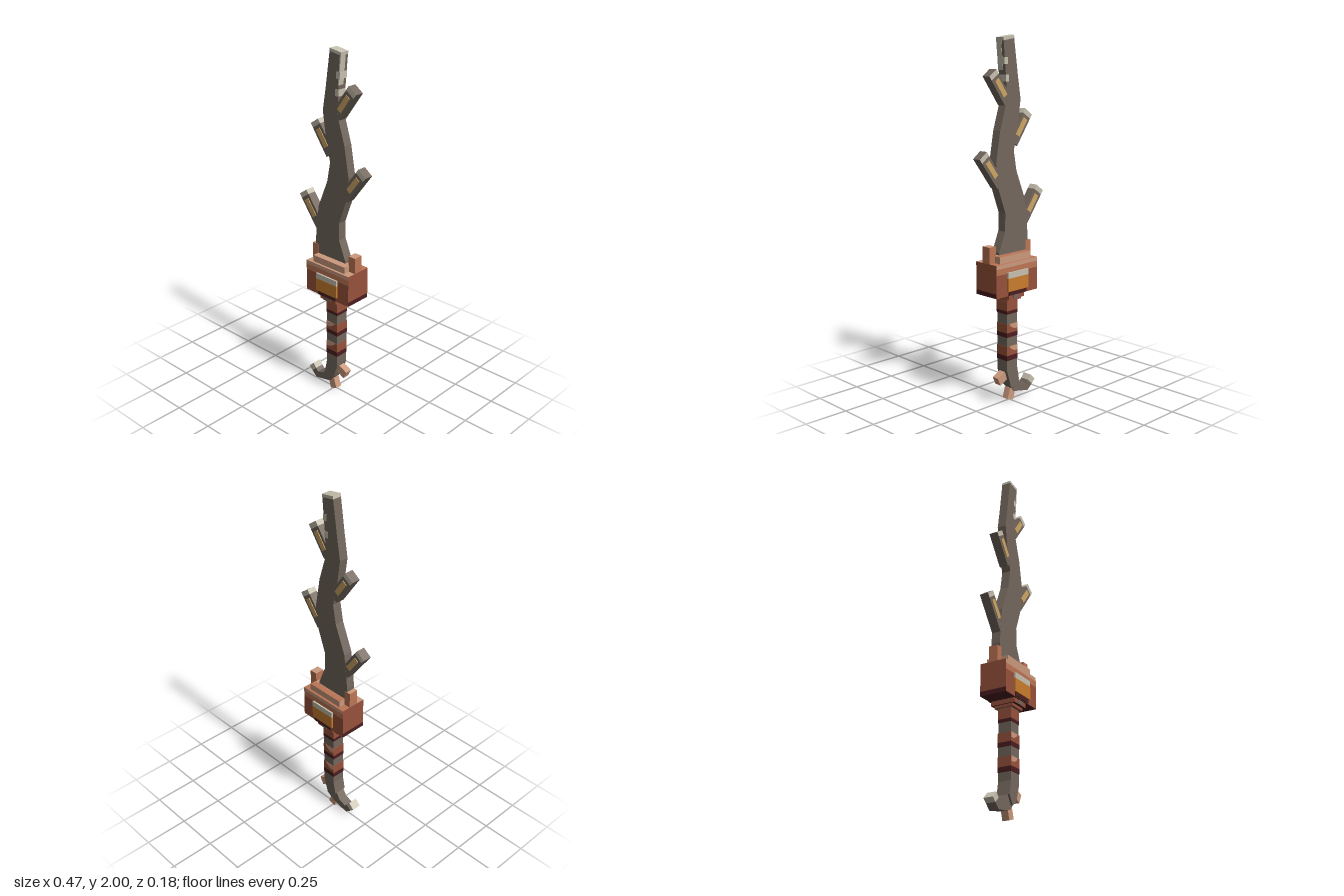
import * as THREE from 'three';

const mat = (name, color) => {
  const m = new THREE.MeshStandardMaterial({ color });
  m.name = name;
  return m;
};

export function createModel() {
  const wood = mat('greyWood', 0x73675d);
  const pale = mat('paleWood', 0xc6c0ae);
  const red = mat('redClay', 0x98523b);
  const mid = mat('midClay', 0xbd7555);
  const light = mat('lightClay', 0xcb997d);
  const dark = mat('darkMaroon', 0x4b1e20);
  const gold = mat('goldSap', 0xcda565);
  const amber = mat('amber', 0xc97c2d);

  const model = new THREE.Group();
  model.name = 'branchSword';

  // Box given by its limits on each axis
  const box = (name, material, [x0, x1], [y0, y1], [z0, z1], parent = model) => {
    const m = new THREE.Mesh(new THREE.BoxGeometry(x1 - x0, y1 - y0, z1 - z0), material);
    m.position.set((x0 + x1) / 2, (y0 + y1) / 2, (z0 + z1) / 2);
    m.name = name;
    parent.add(m);
    return m;
  };

  // Flat outline extruded evenly about z = centre
  const slab = (name, material, points, depth, centre = 0) => {
    const shape = new THREE.Shape(points.map(([x, y]) => new THREE.Vector2(x, y)));
    const g = new THREE.ExtrudeGeometry(shape, { depth, bevelEnabled: false });
    g.translate(0, 0, centre - depth / 2);
    const m = new THREE.Mesh(g, material);
    m.name = name;
    model.add(m);
    return m;
  };

  // Crooked wooden blade
  slab('blade', wood, [
    [-0.11, 0.84], [0.1, 0.84], [0.1, 0.86], [0.055, 0.97], [0.053, 1.07], [0.105, 1.21],
    [0.12, 1.34], [0.09, 1.51], [0.04, 1.67], [0.05, 1.82], [0.065, 1.985],
    [-0.01, 1.997], [-0.04, 1.79], [-0.06, 1.67], [-0.035, 1.5], [-0.01, 1.4],
    [-0.03, 1.29], [-0.095, 1.13], [-0.11, 1.0], [-0.118, 0.92],
  ], 0.052);

  // Pale worn patches at the tip
  slab('tipCap', pale, [[0.064, 1.972], [0.066, 1.988], [-0.01, 2], [-0.013, 1.984]], 0.054);
  slab('tipEdge', pale, [[0.046, 1.82], [0.051, 1.82], [0.067, 1.985], [0.06, 1.985]], 0.036, 0.01);
  for (const [x, y] of [[0.046, 1.87], [0.037, 1.78]]) {
    box('tipFleck', pale, [x - 0.012, x + 0.012], [y - 0.018, y + 0.018], [-0.027, 0.027]);
  }

  // Cut side branches: base x, y and tip x, y
  for (const [bx, by, tx, ty] of [
    [0.03, 1.657, 0.14, 1.81], [-0.01, 1.44, -0.122, 1.6],
    [0.085, 1.225, 0.21, 1.39], [-0.085, 1.005, -0.212, 1.18],
  ]) {
    const branch = new THREE.Group();
    branch.name = 'branch';
    const length = Math.hypot(tx - bx, ty - by);
    branch.position.set(bx, by, 0);
    branch.rotation.z = -Math.atan2(tx - bx, ty - by);
    const w = [-0.031, 0.031], z = [-0.0255, 0.0255];
    box('branchWood', wood, w, [0, length - 0.027], z, branch);
    // Pale ring, with a wooden end and outer side
    const sides = tx > 0 ? [wood, pale] : [pale, wood];
    box('branchCut', [...sides, wood, pale, pale, pale], w, [length - 0.027, length], z, branch);
    for (const s of [-1, 1]) {
      box('sapStrip', gold, [-0.015, 0.015], [length - 0.15, length - 0.045],
        [s * 0.027 - 0.002, s * 0.027 + 0.002], branch);
    }
    model.add(branch);
  }

  // Guard block in painted layers
  const gx = [-0.14, 0.17], gz = [-0.078, 0.078];
  box('guardBase', [dark, dark, red, dark, red, red], gx, [0.63, 0.655], gz);
  box('guardBody', red, gx, [0.655, 0.755], gz);
  box('guardBand', [red, red, mid, mid, mid, mid], gx, [0.755, 0.788], gz);
  box('guardTopFront', [red, red, light, mid, light, mid], gx, [0.788, 0.81], [-0.028, 0.078]);
  box('guardTopBack', [red, red, mid, mid, mid, light], gx, [0.788, 0.81], [-0.078, -0.028]);

  // Stepped collar above the guard, with two posts
  box('collarFront', light, [-0.1, 0.13], [0.81, 0.848], [-0.028, 0.065]);
  box('collarBack', [light, light, mid, mid, light, light], [-0.1, 0.13], [0.81, 0.848], [-0.065, -0.028]);
  for (const x of [[-0.14, -0.1], [0.125, 0.17]]) {
    box('guardPost', [mid, mid, light, mid, mid, mid], x, [0.81, 0.9], [-0.027, 0.027]);
  }

  // Amber stone running through the guard
  const sx = [-0.061, 0.091], sz = [-0.088, 0.088];
  box('stoneTop', pale, sx, [0.728, 0.76], sz);
  box('stoneBody', amber, sx, [0.655, 0.728], sz);
  box('stoneShade', dark, [-0.05, 0.08], [0.632, 0.655], [-0.084, 0.084]);

  // Steps below the guard
  box('lowerCollar', [red, red, red, dark, red, red], [-0.045, 0.07], [0.605, 0.63], [-0.07, 0.07]);
  box('lowerStep', red, [-0.038, 0.065], [0.59, 0.605], [-0.055, 0.055]);
  box('collarNotch', wood, [-0.005, 0.035], [0.607, 0.63], [-0.072, 0.072]);

  // Handle with wrapped bands
  box('handle', wood, [-0.025, 0.053], [0.2, 0.59], [-0.038, 0.038]);
  [[0.53, 0.585, 0.512], [0.405, 0.455, 0.38], [0.275, 0.328, 0.247]].forEach(([y0, y1, yd], i) => {
    box('wrap', red, [-0.027, 0.055], [y0, y1], [-0.04, 0.04]);
    box('wrapShade', dark, [-0.027, 0.055], [yd, y0], [-0.04, 0.04]);
    if (i === 0) return;
    for (const s of [-1, 1]) {
      slab('wrapGlint', light, [[-0.026, y1 - 0.03], [0, y1 - 0.03], [0.03, y1 - 0.012],
        [0.035, y1], [-0.026, y1]], 0.002, s * 0.04);
    }
  });

  // Hooked pommel, narrowing towards its tip
  slab('pommelBend', wood, [[-0.025, 0.2], [-0.04, 0.125], [-0.01, 0.075], [0.026, 0.1],
    [0.053, 0.19], [0.053, 0.2]], 0.076);
  slab('pommelHook', wood, [[-0.04, 0.125], [-0.065, 0.085], [-0.11, 0.07], [-0.125, 0.088],
    [-0.155, 0.06], [-0.12, 0.03], [-0.015, 0.052], [0.026, 0.1]], 0.054);
  slab('pommelTip', pale, [[-0.125, 0.088], [-0.145, 0.115], [-0.178, 0.082], [-0.155, 0.06]], 0.054);

  // Stub thorns on the pommel: x, y, width, height, turn
  for (const [x, y, w, h, turn] of [[0.069, 0.145, 0.06, 0.05, -0.45], [0, 0.038, 0.045, 0.062, 0.3]]) {
    const thorn = box('thorn', light, [x - w / 2, x + w / 2], [y - h / 2, y + h / 2], [-0.02, 0.02]);
    thorn.rotation.z = turn;
  }

  return model;
}
